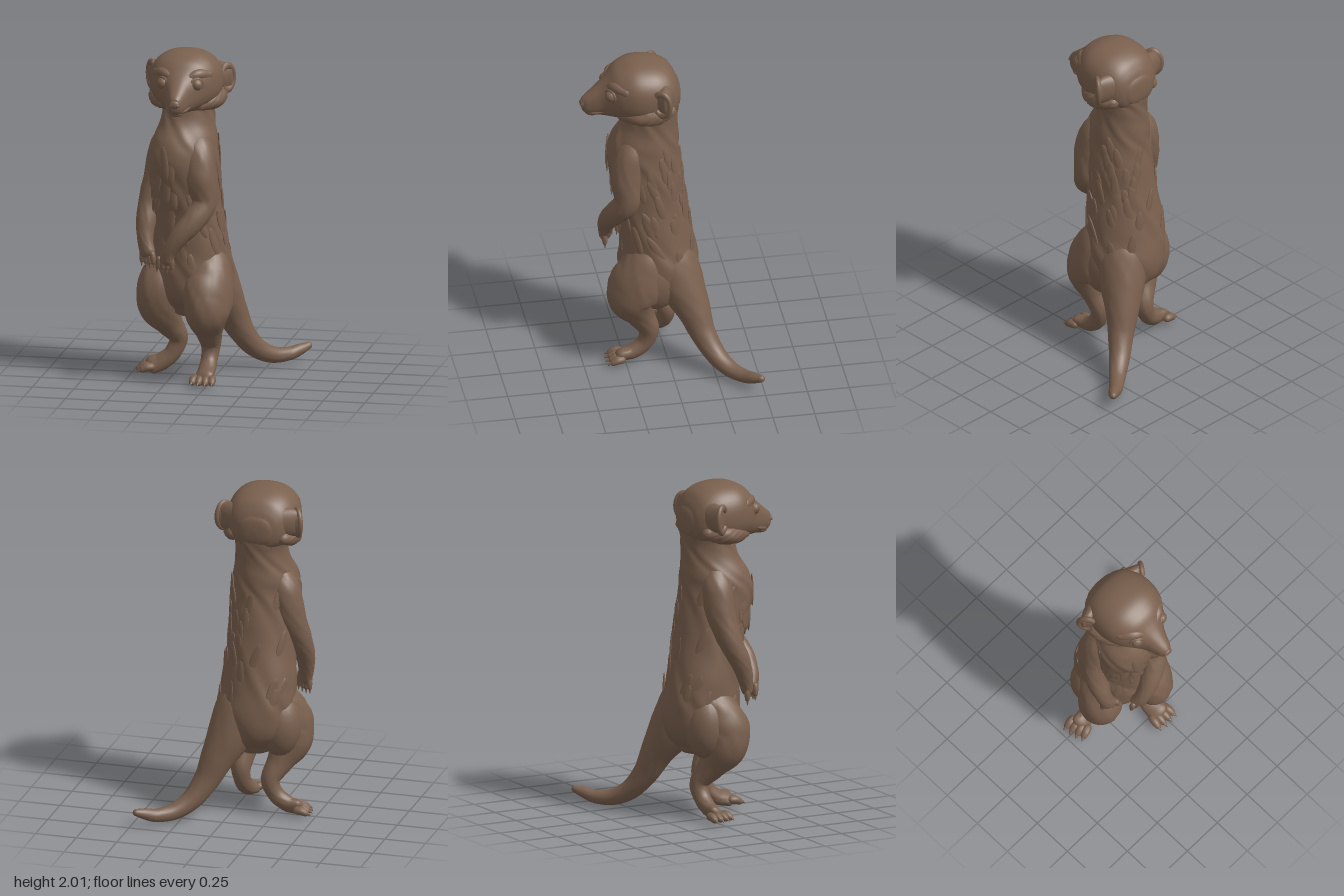
import * as THREE from 'three';
import { mergeGeometries } from 'three/addons/utils/BufferGeometryUtils.js';

const V = (x, y, z) => new THREE.Vector3(x, y, z);
const fur = new THREE.MeshStandardMaterial({ color: 0x7a604e });
fur.name = 'brown fur';

// The trunk and tail are turned to one side, while the head looks ahead.
const FORWARD = V(-0.5, 0, 0.866), SIDE = V(0.866, 0, 0.5);

let seed = 7;
const rand = () => (seed = (seed * 16807) % 2147483647) / 2147483647;

// Smooth closed skin over points [x, y, z, radiusU, radiusV].
// Without fixed axes u and v the rings follow the path.
function loft(points, { u, v, steps = 8, sides = 28, ripple = 0, cap = 1, power = 1 } = {}) {
  const path = new THREE.CatmullRomCurve3(points.map(p => V(p[0], p[1], p[2])), false, 'catmullrom');
  const size = new THREE.CatmullRomCurve3(points.map(p => V(p[3], p[4] ?? p[3], 0)), false, 'catmullrom');
  const n = (points.length - 1) * steps, rings = [];
  const normal = u ? u.clone() : SIDE.clone();
  for (let i = 0; i <= n; i++) {
    const t = i / n, tan = path.getTangent(t);
    if (!u) normal.addScaledVector(tan, -normal.dot(tan)).normalize();
    const a = normal.clone(), b = v ? v.clone() : tan.clone().cross(a);
    const ring = { c: path.getPoint(t), s: size.getPoint(t), a, b, t };
    // rounded ends
    const axis = a.clone().cross(b);
    const end = sign => [0.35, 0.7, 0.9, 1].map(k => ({
      ...ring, c: ring.c.clone().addScaledVector(axis, sign * k * cap * Math.min(ring.s.x, ring.s.y)),
      s: ring.s.clone().multiplyScalar(Math.sqrt(Math.max(1 - k * k, 0))),
    }));
    if (i === 0) rings.push(...end(-1).reverse());
    rings.push(ring);
    if (i === n) rings.push(...end(1));
  }
  const bend = w => Math.sign(w) * Math.abs(w) ** power;
  const pos = [], index = [];
  rings.forEach((r, i) => {
    for (let j = 0; j < sides; j++) {
      const g = (j / sides) * Math.PI * 2;
      const k = 1 + ripple * Math.sin(6 * g + 14 * r.t + 2 * Math.sin(3 * g + 25 * r.t));
      const p = r.c.clone().addScaledVector(r.a, bend(Math.cos(g)) * r.s.x * k)
        .addScaledVector(r.b, bend(Math.sin(g)) * r.s.y * k);
      pos.push(p.x, p.y, p.z);
      if (i < rings.length - 1) {
        const q = i * sides + j, w = i * sides + (j + 1) % sides;
        index.push(q, w, q + sides, w, w + sides, q + sides);
      }
    }
  });
  const geo = new THREE.BufferGeometry();
  geo.setAttribute('position', new THREE.Float32BufferAttribute(pos, 3));
  geo.setIndex(index);
  geo.computeVertexNormals();
  return geo;
}

function add(parent, name, geo) {
  const mesh = new THREE.Mesh(geo, fur);
  mesh.name = name;
  parent.add(mesh);
  return mesh;
}

function blob(parent, name, p, s) {
  const m = add(parent, name, new THREE.SphereGeometry(1, 24, 16));
  m.position.set(...p);
  m.scale.set(...s);
  return m;
}

// Four digits with claws, fanned across a paw
function digits(parent, name, base, dir, across, length, r, gap) {
  for (let i = 0; i < 4; i++) {
    const k = i - 1.5, len = length * (1 - 0.08 * Math.abs(k));
    const at = (f, lift) => base.clone().addScaledVector(dir, f * len)
      .addScaledVector(across, k * gap * (1 + 0.2 * f)).add(V(0, lift, 0)).toArray();
    add(parent, name, loft([[...at(0, r * 0.5), r], [...at(0.4, r * 0.4), r * 1.02], [...at(0.75, 0), r * 0.8]],
      { steps: 3, sides: 12 }));
    add(parent, name + 'Claw', loft([[...at(0.85, 0), r * 0.45], [...at(1.1, -r * 0.2), r * 0.3],
      [...at(1.25, -r * 0.55), r * 0.08]], { steps: 3, sides: 8 }));
  }
}

// Trunk rows: height, centre x, centre z, half depth, half width
const TRUNK = [
  [0.41, -0.125, 0.03, 0.14, 0.13], [0.5, -0.13, 0.03, 0.215, 0.215], [0.65, -0.13, 0.03, 0.235, 0.24],
  [0.8, -0.14, 0.04, 0.215, 0.23], [1.0, -0.147, 0.065, 0.208, 0.207], [1.2, -0.155, 0.1, 0.218, 0.195],
  [1.35, -0.16, 0.12, 0.222, 0.19], [1.45, -0.16, 0.11, 0.205, 0.18], [1.55, -0.152, 0.085, 0.175, 0.157],
  [1.64, -0.147, 0.072, 0.16, 0.148], [1.71, -0.148, 0.072, 0.163, 0.162], [1.77, -0.148, 0.072, 0.16, 0.16],
];

// Point on the trunk surface at a height and an angle from the chest
function onTrunk(y, g) {
  let i = 0;
  while (i < TRUNK.length - 2 && TRUNK[i + 1][0] < y) i++;
  const f = (y - TRUNK[i][0]) / (TRUNK[i + 1][0] - TRUNK[i][0]);
  const [, x, z, d, w] = TRUNK[i].map((a, k) => a + (TRUNK[i + 1][k] - a) * f);
  return V(x, y, z).addScaledVector(FORWARD, Math.cos(g) * d).addScaledVector(SIDE, Math.sin(g) * w);
}

// Low, long locks lying flat on the coat
function furLocks() {
  const locks = [];
  for (let i = 0; i < 70; i++) {
    const y = 0.65 + rand() * 0.72, g = rand() * Math.PI * 2;
    const out = FORWARD.clone().multiplyScalar(Math.cos(g)).addScaledVector(SIDE, Math.sin(g));
    const lean = (rand() - 0.5) * 0.3 + Math.sin(g) * 0.4;
    const geo = new THREE.SphereGeometry(1, 12, 8).scale(0.026, 0.08 + rand() * 0.04, 0.008);
    geo.rotateZ(lean).rotateX(-0.03).rotateY(Math.atan2(out.x, out.z));
    const p = onTrunk(y, g).addScaledVector(out, -0.003);
    locks.push(geo.translate(p.x, p.y, p.z));
  }
  return mergeGeometries(locks);
}

function buildHead() {
  const head = new THREE.Group();
  head.name = 'head';
  head.position.x = -0.148;
  // z, top, bottom, half width
  const rows = [
    [-0.08, 1.86, 1.69, 0.1], [-0.06, 1.905, 1.66, 0.14], [-0.02, 1.955, 1.64, 0.178], [0.05, 1.988, 1.625, 0.206],
    [0.13, 2.0, 1.625, 0.214], [0.2, 1.997, 1.635, 0.206], [0.26, 1.975, 1.648, 0.18], [0.3, 1.95, 1.652, 0.15],
    [0.34, 1.905, 1.655, 0.112], [0.38, 1.865, 1.658, 0.08], [0.43, 1.822, 1.662, 0.058], [0.465, 1.793, 1.672, 0.043],
    [0.485, 1.775, 1.69, 0.027],
  ];
  add(head, 'skull', loft(rows.map(([z, t, b, w]) => [0, (t + b) / 2, z, w, (t - b) / 2]),
    { u: V(1, 0, 0), v: V(0, 1, 0), sides: 48, steps: 5, cap: 0.2, power: 0.86 }));
  blob(head, 'nose', [0, 1.738, 0.483], [0.03, 0.026, 0.018]);
  blob(head, 'chin', [0, 1.675, 0.425], [0.04, 0.02, 0.045]);
  for (const s of [1, -1]) {
    blob(head, 'nostril', [s * 0.017, 1.734, 0.492], [0.011, 0.01, 0.008]);
    blob(head, 'eye', [s * 0.1, 1.83, 0.328], [0.037, 0.037, 0.037]);
    const lid = add(head, 'eyelid', new THREE.TorusGeometry(0.04, 0.009, 10, 28));
    lid.position.set(s * 0.103, 1.83, 0.333);
    lid.scale.y = 0.92;
    lid.rotation.y = s * 0.6;
    add(head, 'brow', loft([[s * 0.05, 1.868, 0.333, 0.022], [s * 0.1, 1.884, 0.298, 0.034],
      [s * 0.15, 1.872, 0.24, 0.034]], { sides: 18 }));
    add(head, 'lip', loft([[s * 0.012, 1.69, 0.466, 0.012], [s * 0.044, 1.69, 0.42, 0.014],
      [s * 0.07, 1.705, 0.365, 0.008]], { sides: 10 }));
    add(head, 'cheekRuff', loft([[s * 0.155, 1.725, -0.01, 0.04], [s * 0.178, 1.712, 0.07, 0.055],
      [s * 0.158, 1.7, 0.17, 0.052], [s * 0.105, 1.69, 0.26, 0.032]], { ripple: 0.04 }));
    // ear: the back flares out of the skull, the rim opens forward
    add(head, 'earBack', loft([[s * 0.07, 1.815, -0.01, 0.065, 0.09], [s * 0.15, 1.815, 0.015, 0.058, 0.092],
      [s * 0.205, 1.815, 0.027, 0.046, 0.086], [s * 0.243, 1.815, 0.022, 0.022, 0.07]],
    { u: V(0, 0, s), v: V(0, -1, 0), cap: 0.6 }));
    const ear = new THREE.Group();
    ear.name = 'ear';
    ear.position.set(s * 0.226, 1.813, 0.045);
    ear.rotation.y = s * 0.96;
    blob(ear, 'earShell', [0, 0, -0.016], [0.052, 0.08, 0.022]);
    add(ear, 'earRim', new THREE.TorusGeometry(0.052, 0.016, 12, 36, Math.PI * 1.5)
      .rotateZ(s > 0 ? -Math.PI * 0.75 : Math.PI * 0.25).scale(1, 1.4, 1));
    head.add(ear);
  }
  return head;
}

export function createModel() {
  const model = new THREE.Group();
  model.name = 'standingAnimal';

  add(model, 'trunk', loft(TRUNK.map(([y, x, z, d, w]) => [x, y, z, d, w]),
    { u: FORWARD, v: SIDE, sides: 72, steps: 8, ripple: 0.016, cap: 0.4 }));
  add(model, 'furLocks', furLocks());
  model.add(buildHead());

  add(model, 'tail', loft([
    [-0.08, 0.78, 0.01, 0.13], [-0.05, 0.65, -0.03, 0.15], [0.0, 0.5, -0.085, 0.137], [0.06, 0.36, -0.145, 0.102],
    [0.115, 0.23, -0.19, 0.077], [0.185, 0.12, -0.25, 0.062], [0.27, 0.06, -0.32, 0.05], [0.355, 0.05, -0.395, 0.041],
    [0.42, 0.07, -0.445, 0.033], [0.46, 0.086, -0.48, 0.022],
  ], { ripple: 0.012 }));

  // Arms hang from sloping shoulders in front of the belly
  add(model, 'leftArm', loft([
    [-0.095, 1.5, 0.14, 0.06], [-0.068, 1.39, 0.2, 0.095], [-0.05, 1.25, 0.23, 0.1], [-0.025, 1.1, 0.235, 0.08],
    [-0.07, 1.0, 0.292, 0.07], [-0.145, 0.91, 0.33, 0.058], [-0.205, 0.82, 0.335, 0.046], [-0.23, 0.765, 0.328, 0.05, 0.036],
  ], { ripple: 0.02 }));
  digits(model, 'leftFinger', V(-0.235, 0.755, 0.333), V(-0.08, -1, -0.05), V(0.95, 0, 0.2), 0.06, 0.017, 0.027);
  add(model, 'rightArm', loft([
    [-0.25, 1.5, 0.07, 0.06], [-0.292, 1.38, 0.055, 0.092], [-0.326, 1.22, 0.065, 0.088], [-0.368, 1.07, 0.105, 0.072],
    [-0.385, 0.95, 0.16, 0.06], [-0.383, 0.85, 0.195, 0.047], [-0.367, 0.775, 0.215, 0.05, 0.036],
  ], { ripple: 0.02 }));
  digits(model, 'rightFinger', V(-0.365, 0.76, 0.22), V(0.05, -1, 0.05), V(0.85, 0, 0.5), 0.06, 0.017, 0.027);

  // Legs: broad haunch and thigh, narrow hock, long flat foot
  blob(model, 'leftHaunch', [0.005, 0.56, 0.07], [0.115, 0.2, 0.15]);
  add(model, 'leftLeg', loft([
    [-0.06, 0.82, 0.08, 0.07], [-0.025, 0.72, 0.105, 0.115], [-0.01, 0.62, 0.145, 0.132, 0.15], [-0.005, 0.52, 0.19, 0.13, 0.165],
    [-0.005, 0.42, 0.21, 0.122, 0.145], [-0.005, 0.31, 0.16, 0.08, 0.092], [-0.005, 0.21, 0.112, 0.057, 0.062],
    [-0.01, 0.12, 0.135, 0.05], [-0.015, 0.062, 0.2, 0.058, 0.046], [-0.015, 0.043, 0.275, 0.066, 0.038],
  ], { ripple: 0.018 }));
  digits(model, 'leftToe', V(-0.015, 0.026, 0.28), V(0, 0, 1), V(1, 0, 0), 0.075, 0.025, 0.034);
  blob(model, 'rightHaunch', [-0.28, 0.56, -0.01], [0.13, 0.2, 0.13]);
  add(model, 'rightLeg', loft([
    [-0.22, 0.82, 0.02, 0.07], [-0.245, 0.72, 0.02, 0.115], [-0.285, 0.62, 0.06, 0.13, 0.14], [-0.315, 0.52, 0.095, 0.13, 0.15],
    [-0.32, 0.42, 0.085, 0.118, 0.13], [-0.275, 0.31, 0.025, 0.078, 0.085], [-0.23, 0.21, -0.03, 0.057],
    [-0.26, 0.12, -0.025, 0.05], [-0.325, 0.062, -0.01, 0.055, 0.046], [-0.38, 0.043, 0, 0.062, 0.038],
  ], { ripple: 0.018 }));
  digits(model, 'rightToe', V(-0.39, 0.026, 0.0), V(-0.98, 0, 0.2), V(0.2, 0, 0.98), 0.072, 0.025, 0.034);

  return model;
}
